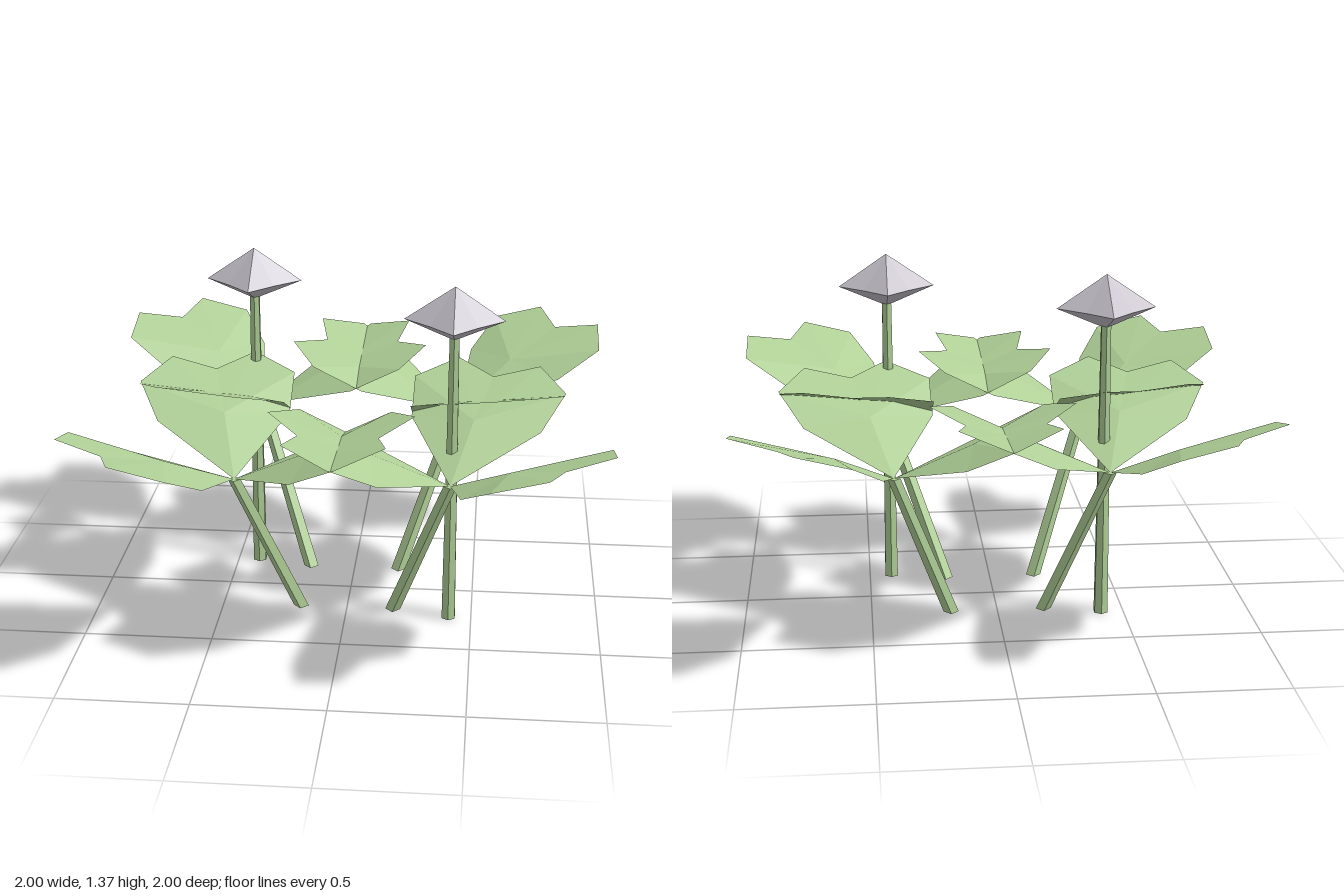
import * as THREE from 'three';

const material = (name, color, side) => {
  const m = new THREE.MeshStandardMaterial({ color, side, flatShading: true });
  m.name = name;
  return m;
};

// Fan of triangles from a centre point round a closed rim
function fan(center, rim) {
  const pos = [];
  rim.forEach((p, i) => pos.push(...center, ...p, ...rim[(i + 1) % rim.length]));
  const g = new THREE.BufferGeometry();
  g.setAttribute('position', new THREE.Float32BufferAttribute(pos, 3));
  g.computeVertexNormals();
  return g;
}

// Heart-shaped leaflet rising along +x from its base, slightly ridged
function leafGeometry() {
  const half = [[0.33, 0.13, 0.262], [0.523, 0.23, 0.311], [0.665, 0.28, 0.17]];
  const mirrored = half.map(([x, y, z]) => [x, y, -z]).reverse();
  return fan([0.31, 0.155, 0], [[0, 0, 0], ...half, [0.58, 0.245, 0], ...mirrored]);
}

// Straight stem from the ground, sheared so that its ends stay level
function stemGeometry(rTop, rBottom, height, sides, lean = 0) {
  const g = new THREE.CylinderGeometry(rTop, rBottom, height, sides);
  g.translate(0, height / 2, 0);
  const p = g.attributes.position;
  for (let i = 0; i < p.count; i++) {
    const shift = lean * p.getY(i) / height;
    p.setX(i, p.getX(i) + shift);
    p.setZ(i, p.getZ(i) + shift);
  }
  g.computeVertexNormals();
  return g;
}

export function createModel() {
  const model = new THREE.Group();
  model.name = 'cloverPatch';
  const stemGreen = material('leafGreen', 0xb0d097, THREE.DoubleSide);
  const petal = material('paleLilac', 0xc9c4cd);

  const add = (parent, name, geometry, mat) => {
    const mesh = new THREE.Mesh(geometry, mat);
    mesh.name = name;
    parent.add(mesh);
    return mesh;
  };

  // Four three-leaved clovers leaning outward
  const leaf = leafGeometry();
  const leafStem = stemGeometry(0.025, 0.03, 0.64, 4, 0.225);
  for (let k = 0; k < 4; k++) {
    const clover = new THREE.Group();
    clover.name = 'clover' + (k + 1);
    clover.rotation.y = k * Math.PI / 2;
    add(clover, 'leafStem', leafStem, stemGreen).position.set(0.185, 0, 0.185);
    for (let j = 0; j < 3; j++) {
      const l = add(clover, 'leaf' + (j + 1), leaf, stemGreen);
      l.position.set(0.41, 0.64, 0.41);
      l.rotation.y = -Math.PI / 4 + j * Math.PI * 2 / 3;
    }
    model.add(clover);
  }

  // Two flowers with four-pointed heads
  const rim = [];
  for (let i = 0; i < 8; i++) {
    const a = -i * Math.PI / 4, r = i % 2 ? 0.128 : 0.19;
    rim.push([r * Math.cos(a), 0, r * Math.sin(a)]);
  }
  const headTop = fan([0, 0.13, 0], rim);
  const headBottom = fan([0, -0.08, 0], [...rim].reverse());
  const flowerStem = stemGeometry(0.021, 0.03, 1.18, 6);
  for (const s of [-1, 1]) {
    const flower = new THREE.Group();
    flower.name = s > 0 ? 'leftFlower' : 'rightFlower';
    flower.position.set(0.41 * s, 0, 0.235 * s);
    add(flower, 'flowerStem', flowerStem, stemGreen);
    add(flower, 'headTop', headTop, petal).position.y = 1.24;
    add(flower, 'headBottom', headBottom, petal).position.y = 1.24;
    model.add(flower);
  }
  return model;
}
